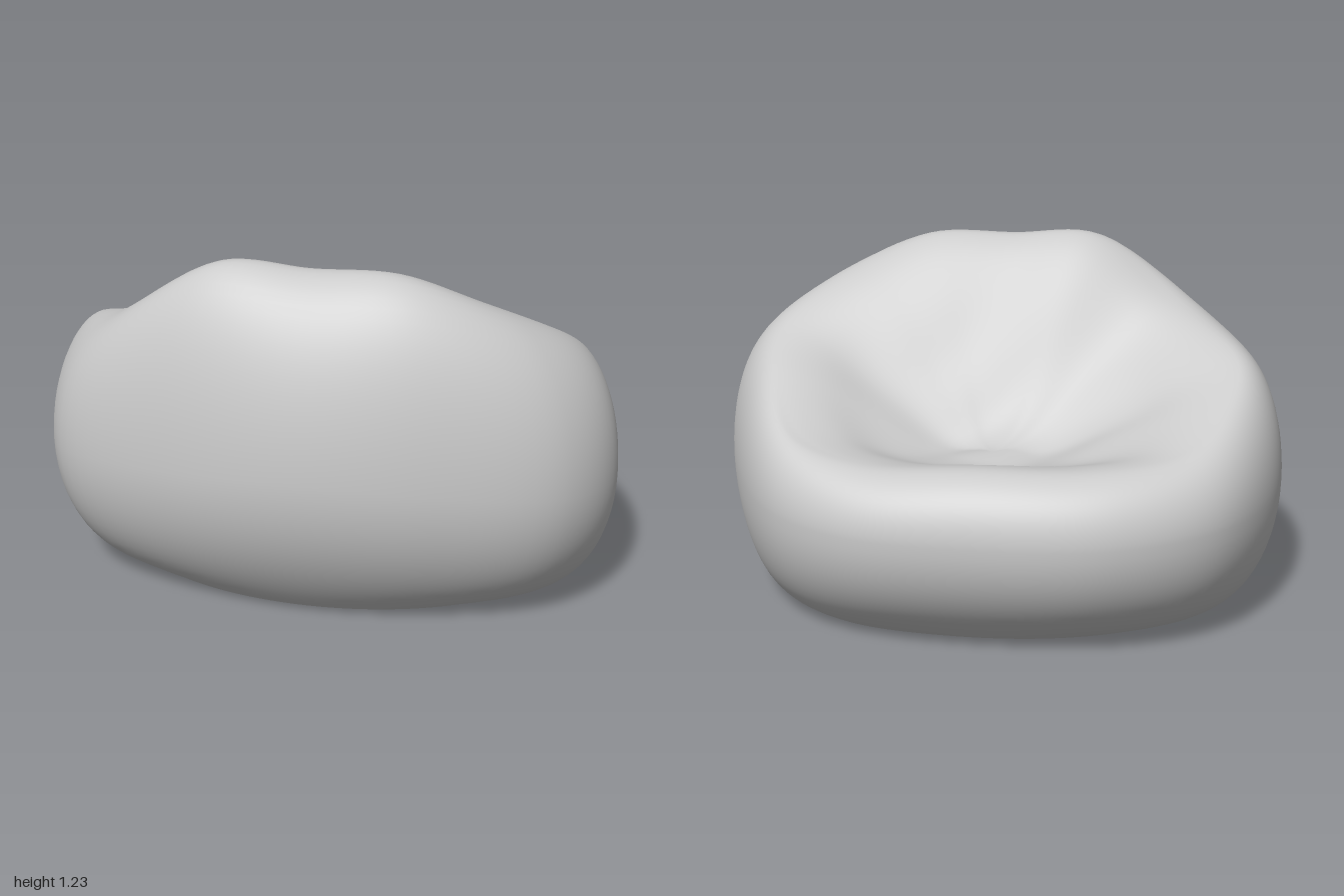
import * as THREE from 'three';

const SEGMENTS = 112, LOWER = 14, UPPER = 16, SEAT = 30;
const loop = (pts) => new THREE.CatmullRomCurve3(pts.map((p) => new THREE.Vector3(...p)), true, 'centripetal');
const lerp = THREE.MathUtils.lerp;

// widest outline of the bag, from the middle of the backrest towards +x
const belly = loop([
  [0, 0.58, 0.735], [0.45, 0.55, 0.67], [0.85, 0.5, 0.49], [1, 0.47, 0.22], [0.92, 0.45, -0.14],
  [0.71, 0.44, -0.51], [0.43, 0.43, -0.68], [0, 0.43, -0.735], [-0.45, 0.43, -0.69], [-0.79, 0.44, -0.5],
  [-0.96, 0.44, -0.2], [-1, 0.45, 0.12], [-0.88, 0.5, 0.45], [-0.45, 0.55, 0.66],
]);
// crest of the rim, matched point by point with the belly
const rim = loop([
  [0, 1.21, 0.45], [0.3, 1.205, 0.43], [0.55, 1.09, 0.31], [0.78, 0.935, 0.1], [0.76, 0.82, -0.14],
  [0.64, 0.68, -0.4], [0.38, 0.63, -0.52], [0, 0.645, -0.56], [-0.38, 0.645, -0.53], [-0.66, 0.67, -0.4],
  [-0.8, 0.765, -0.18], [-0.83, 0.87, 0.05], [-0.6, 1.0, 0.31], [-0.3, 1.215, 0.44],
]);
const seatCentre = new THREE.Vector3(0, 0.55, -0.15);

// underside sags slightly at one corner
const floorY = (x, z) => 0.017 - 0.017 * Math.exp(-((x - 0.5) ** 2 + (z + 0.36) ** 2) / 0.08);

function basePoint(w) {
  const a = Math.atan2(w.x / 0.99, w.z / 0.73);
  const x = 0.78 * Math.sin(a), z = 0.5 * Math.cos(a);
  return new THREE.Vector3(x, floorY(x, z), z);
}

// soft uneven creases of the seat
const crease = (x, z) => 0.013 * Math.sin(8 * x + 2 * Math.sin(6 * z)) * Math.sin(13 * z + 2 * Math.sin(5 * x));

// one column of the skin: base edge, belly, rim, then down into the seat
function column(t) {
  const w = belly.getPoint(t), r = rim.getPoint(t), b = basePoint(w), out = [];
  const round = 0.3 + 0.6 * w.x * w.x; // the flanks swell more than front and back
  for (let i = 0; i < LOWER; i++) {
    const k = i / LOWER, u = k * Math.PI / 2, s = Math.sin(u);
    out.push([lerp(b.x, w.x, s), lerp(b.y, w.y, lerp(k, 1 - Math.cos(u), round)), lerp(b.z, w.z, s)]);
  }
  for (let i = 0; i < UPPER; i++) {
    const u = i / UPPER * Math.PI / 2, c = Math.cos(u);
    out.push([lerp(r.x, w.x, c), lerp(w.y, r.y, Math.sin(u)), lerp(r.z, w.z, c)]);
  }
  // the high back slopes all the way down, the low lip levels out sooner
  const reach = lerp(0.8, 0.98, THREE.MathUtils.smoothstep(r.y, 0.62, 1.2));
  for (let i = 0; i < SEAT; i++) {
    const s = i / SEAT, x = lerp(r.x, seatCentre.x, s), z = lerp(r.z, seatCentre.z, s);
    const fold = crease(x, z) * THREE.MathUtils.smoothstep(s, 0.1, 0.6);
    out.push([x, lerp(r.y, seatCentre.y, THREE.MathUtils.smoothstep(s, 0, reach)) + fold, z]);
  }
  return out;
}

// closed rings (inner lists of points) joined in order and ended in a single point
function ringSurface(rings, tip, flip) {
  const n = rings[0].length, index = [];
  const tri = (a, b, c) => (flip ? index.push(a, c, b) : index.push(a, b, c));
  rings.forEach((_, i) => {
    for (let j = 0; j < n; j++) {
      const k = (j + 1) % n, a = i * n + j, b = i * n + k;
      if (i === rings.length - 1) tri(a, b, rings.length * n);
      else { tri(a, b, b + n); tri(a, b + n, a + n); }
    }
  });
  const geometry = new THREE.BufferGeometry();
  geometry.setAttribute('position', new THREE.Float32BufferAttribute([...rings.flat(2), ...tip], 3));
  geometry.setIndex(index);
  geometry.computeVertexNormals();
  return geometry;
}

export function createModel() {
  const group = new THREE.Group();
  group.name = 'beanbagChair';
  const material = new THREE.MeshStandardMaterial({ color: 0xcccccc });
  const add = (name, geometry) => {
    const mesh = new THREE.Mesh(geometry, material);
    mesh.name = name;
    group.add(mesh);
  };

  // cushion skin with the hollowed seat
  const columns = Array.from({ length: SEGMENTS }, (_, j) => column(j / SEGMENTS));
  const rings = columns[0].map((_, i) => columns.map((c) => c[i]));
  const { x, y, z } = seatCentre;
  add('cushion', ringSurface(rings, [x, y + crease(x, z), z], false));

  // flat underside, meeting the skin at a sharp edge
  const discs = [1, 0.85, 0.7, 0.5, 0.25].map((k) => rings[0].map(([px, , pz]) => [px * k, floorY(px * k, pz * k), pz * k]));
  add('underside', ringSurface(discs, [0, floorY(0, 0), 0], true));
  return group;
}
